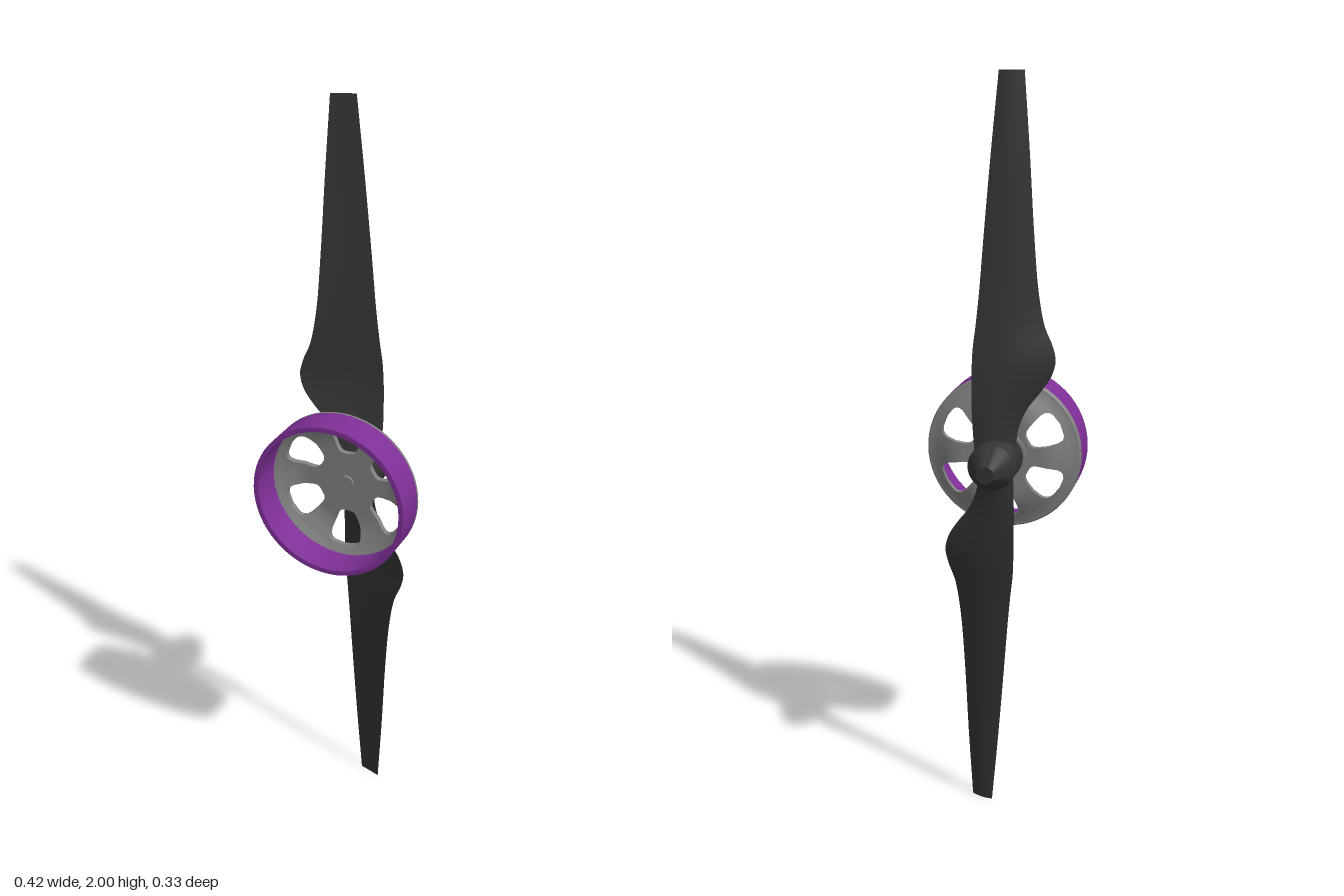
import * as THREE from 'three';
import { toCreasedNormals } from 'three/addons/utils/BufferGeometryUtils.js';

const mat = (color) => new THREE.MeshStandardMaterial({ color });
const dark = mat(0x333333), grey = mat(0x808080), purple = mat(0x7e2f96);

function addMesh(parent, name, geometry, material) {
  const mesh = new THREE.Mesh(geometry, material);
  mesh.name = name;
  parent.add(mesh);
  return mesh;
}

// Revolves [radius, z] points about the z axis
function turned(points, segments = 64) {
  const g = new THREE.LatheGeometry(points.map(([r, z]) => new THREE.Vector2(r, z)), segments);
  g.rotateX(Math.PI / 2);
  // lathe y becomes z
  return toCreasedNormals(g, 0.5);
}

// Skins a row of equal closed loops and caps both ends
function loft(loops) {
  const n = loops[0].length, pos = loops.flat(2), index = [];
  for (let i = 0; i < loops.length - 1; i++) {
    for (let j = 0; j < n; j++) {
      const a = i * n + j, b = i * n + (j + 1) % n;
      index.push(a, b, a + n, b, b + n, a + n);
    }
  }
  const last = (loops.length - 1) * n;
  for (let j = 0; j < n / 2 - 1; j++) {
    const k = n - 1 - j;
    index.push(j, k, j + 1, j + 1, k, k - 1);
    index.push(last + j, last + j + 1, last + k, last + j + 1, last + k - 1, last + k);
  }
  // Turn the faces outward
  const v = (i) => new THREE.Vector3().fromArray(pos, i * 3);
  let volume = 0;
  for (let i = 0; i < index.length; i += 3) {
    volume += v(index[i]).dot(v(index[i + 1]).cross(v(index[i + 2])));
  }
  if (volume < 0) index.reverse();
  const g = new THREE.BufferGeometry();
  g.setAttribute('position', new THREE.Float32BufferAttribute(pos, 3));
  g.setIndex(index);
  return toCreasedNormals(g, 0.6);
}

// Blade stations: height, left x, left z, right x, right z, thickness
const stations = [
  [0.0, -0.05, -0.022, 0.05, -0.058, 0.024],
  [0.08, -0.055, -0.02, 0.054, -0.066, 0.022],
  [0.14, -0.078, -0.014, 0.056, -0.071, 0.02],
  [0.19, -0.115, -0.005, 0.056, -0.073, 0.018],
  [0.23, -0.14, -0.001, 0.056, -0.073, 0.016],
  [0.27, -0.15, 0.0, 0.055, -0.072, 0.015],
  [0.31, -0.142, -0.001, 0.053, -0.07, 0.014],
  [0.36, -0.122, -0.005, 0.047, -0.067, 0.013],
  [0.45, -0.106, -0.01, 0.038, -0.062, 0.012],
  [0.6, -0.094, -0.014, 0.026, -0.058, 0.01],
  [0.8, -0.083, -0.02, 0.009, -0.052, 0.008],
  [1.0, -0.07, -0.025, -0.01, -0.046, 0.006],
];

function bladeGeometry() {
  // Evenly smooth the stations along the span
  const tracks = [0, 3].map((o) => new THREE.CatmullRomCurve3(stations.map((s) =>
    (o ? new THREE.Vector3(s[3], s[0], s[4]) : new THREE.Vector3(s[1], s[0], s[2])))));
  const steps = 44, half = 8, loops = [];
  for (let i = 0; i <= steps; i++) {
    const u = i / steps, f = u * (stations.length - 1);
    const k = Math.min(Math.floor(f), stations.length - 2);
    const thick = THREE.MathUtils.lerp(stations[k][5], stations[k + 1][5], f - k);
    const a = tracks[0].getPoint(u), b = tracks[1].getPoint(u);
    const camber = 0.05 * a.distanceTo(b);
    const loop = [];
    for (const side of [-1, 1]) {
      for (let j = 0; j <= half; j++) {
        const t = side < 0 ? j / half : 1 - j / half;
        const p = a.clone().lerp(b, t), bulge = Math.sin(Math.PI * t);
        p.z += -camber * bulge + side * thick * (0.08 + 0.42 * bulge);
        loop.push([p.x, p.y, p.z]);
      }
    }
    loops.push(loop);
  }
  return loft(loops);
}

// Rear face of the motor bell: flat centre, then a cone
const bellZ = (r) => 0.02 + Math.max(0, r - 0.13) * 0.47;
const bellThickness = 0.016;

// Half-width of each window at a given radius
const windowProfile = [
  [0.084, 0], [0.086, 0.014], [0.092, 0.022], [0.105, 0.029], [0.13, 0.038],
  [0.155, 0.045], [0.167, 0.045], [0.174, 0.04], [0.178, 0.03], [0.18, 0],
];

function spokeGeometry(count) {
  const arc = 8;
  return loft(windowProfile.map(([r, w]) => {
    const angle = Math.PI / count - Math.asin(w / r), loop = [];
    for (const side of [0, 1]) {
      for (let j = 0; j <= arc; j++) {
        const a = angle * (side ? 1 - 2 * j / arc : 2 * j / arc - 1);
        loop.push([r * Math.cos(a), r * Math.sin(a), bellZ(r) + side * bellThickness]);
      }
    }
    return loop;
  }));
}

export function createModel() {
  const model = new THREE.Group();
  model.name = 'propellerMotor';
  const assembly = new THREE.Group();
  assembly.name = 'assembly';
  assembly.position.y = 1;
  model.add(assembly);

  // Two blades, half a turn apart
  const propeller = new THREE.Group();
  propeller.name = 'propeller';
  assembly.add(propeller);
  const blade = bladeGeometry();
  addMesh(propeller, 'upperBlade', blade, dark);
  addMesh(propeller, 'lowerBlade', blade, dark).rotation.z = Math.PI;

  // Hub with its tapered nut
  addMesh(propeller, 'hub', turned([
    [0, -0.164], [0.023, -0.164], [0.062, -0.096], [0.063, -0.094], [0.063, 0.011], [0, 0.011],
  ], 40), dark);

  // Grey motor bell
  const bell = new THREE.Group();
  bell.name = 'motorBell';
  assembly.add(bell);
  addMesh(bell, 'bellCentre', turned([
    [0, 0.01], [0.07, 0.01], [0.07, 0.02], [0.084, 0.02], [0.084, 0.036], [0, 0.036],
  ]), grey);
  addMesh(bell, 'shaft', turned([[0, 0.03], [0.02, 0.03], [0.02, 0.044], [0, 0.044]], 32), grey);
  addMesh(bell, 'bellRim', turned([
    [0.18, bellZ(0.18)], [0.2, bellZ(0.2)], [0.208, 0.054], [0.212, 0.06], [0.212, 0.067],
    [0.2, 0.072], [0.18, bellZ(0.18) + bellThickness], [0.18, bellZ(0.18)],
  ]), grey);
  const spoke = spokeGeometry(6);
  for (let i = 0; i < 6; i++) {
    addMesh(bell, 'spoke', spoke, grey).rotation.z = i * Math.PI / 3;
  }

  // Purple outer ring
  addMesh(assembly, 'outerRing', turned([
    [0.199, 0.067], [0.212, 0.067], [0.212, 0.162], [0.199, 0.162], [0.199, 0.067],
  ]), purple);

  return model;
}
